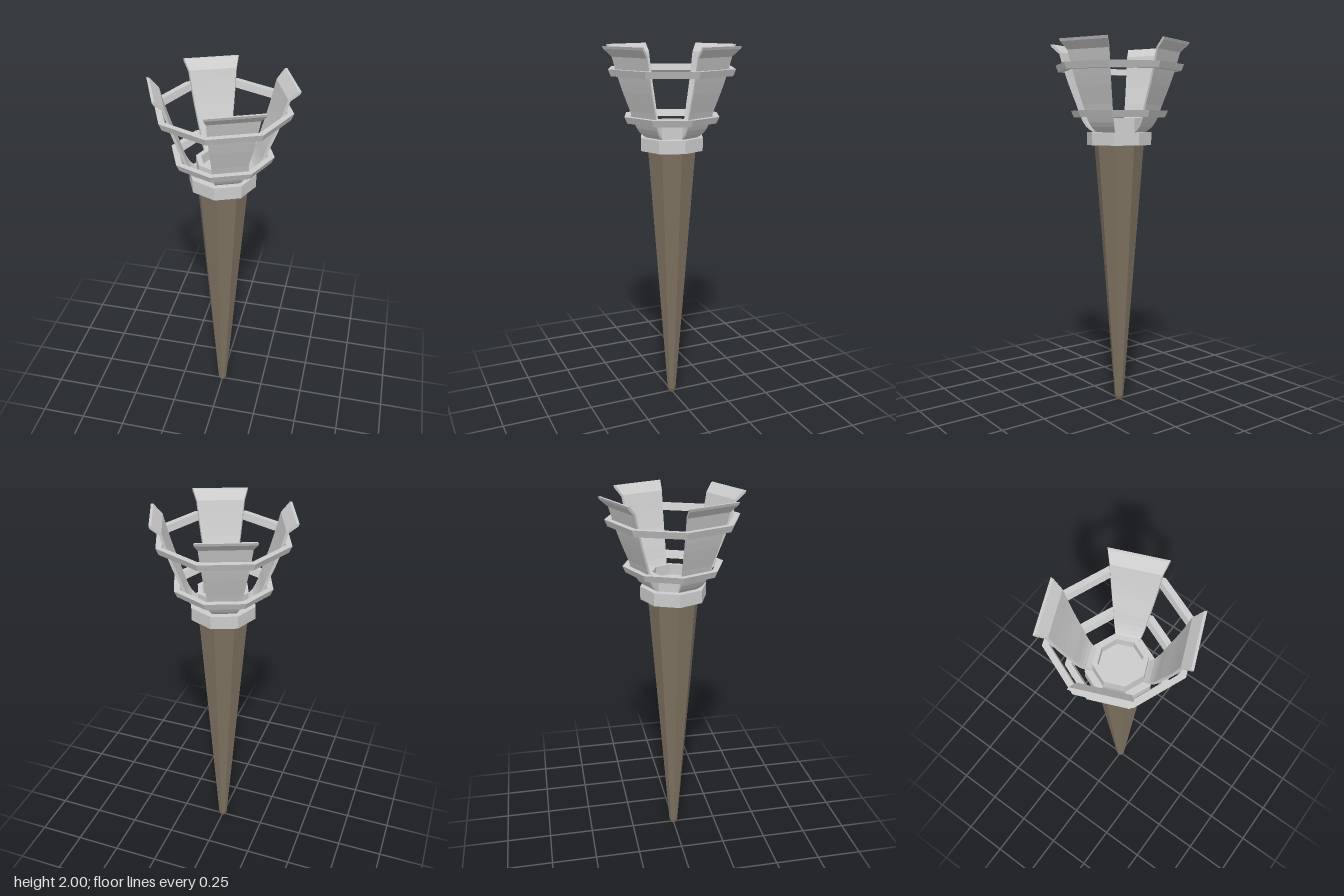
import * as THREE from 'three';

const grey = new THREE.MeshStandardMaterial({ color: 0xcccccc, flatShading: true });
const wood = new THREE.MeshStandardMaterial({ color: 0x7d7160, flatShading: true });

const toPoints = (list) => list.map(([r, y]) => new THREE.Vector2(r, y));

// Eight-sided turned part from a (radius, height) profile, corners on the axes
function turned(name, profile, material) {
  const mesh = new THREE.Mesh(new THREE.LatheGeometry(toPoints(profile), 8), material);
  mesh.name = name;
  return mesh;
}

// Ring with outward-sloping sides
function hoop(name, y0, y1, inner0, inner1, outer0, outer1) {
  return turned(name, [[inner0, y0], [outer0, y0], [outer1, y1], [inner1, y1], [inner0, y0]], grey);
}

// Curved blade filling one side of the octagon, flaring out at the top
function bladeGeometry() {
  const outer = new THREE.SplineCurve(toPoints([
    [0.14, 1.522], [0.183, 1.553], [0.213, 1.605], [0.236, 1.67], [0.275, 1.77], [0.305, 1.86], [0.33, 1.947],
  ])).getPoints(12);
  const inner = outer.map((p) => new THREE.Vector2(p.x - 0.012, p.y + 0.008)).reverse();
  const shape = new THREE.Shape([...outer, ...toPoints([[0.374, 1.986], [0.38, 2], [0.366, 2]]), ...inner]);
  const geometry = new THREE.ExtrudeGeometry(shape, { depth: 1, steps: 1, bevelEnabled: false });

  // Spread the extrusion between two neighbouring octagon corners
  const pos = geometry.attributes.position;
  const c = Math.SQRT1_2;
  for (let i = 0; i < pos.count; i++) {
    const r = pos.getX(i), t = pos.getZ(i);
    pos.setXYZ(i, r * (1 - t + t * c), pos.getY(i), r * t * c);
  }
  geometry.computeVertexNormals();
  return geometry;
}

export function createModel() {
  const model = new THREE.Group();
  model.name = 'torch';

  // Tapered shaft with a blunt tip
  model.add(turned('handle', [[0, 0], [0.017, 0], [0.025, 0.022], [0.137, 1.46], [0, 1.46]], wood));

  // Collar and the shallow cup standing on it
  model.add(turned('collar', [[0, 1.455], [0.178, 1.455], [0.178, 1.525], [0, 1.525]], grey));
  model.add(turned('cup', [[0.139, 1.52], [0.139, 1.6], [0.112, 1.6], [0.112, 1.545], [0, 1.545]], grey));

  // Hoops holding the blades
  model.add(hoop('lowerHoop', 1.605, 1.64, 0.22, 0.235, 0.252, 0.268));
  model.add(hoop('upperHoop', 1.85, 1.885, 0.309, 0.32, 0.338, 0.352));

  // Four blades on every other side
  const geometry = bladeGeometry();
  for (let i = 0; i < 4; i++) {
    const blade = new THREE.Mesh(geometry, grey);
    blade.name = 'blade' + (i + 1);
    blade.rotation.y = -Math.PI / 4 - (i * Math.PI) / 2;
    model.add(blade);
  }
  return model;
}
